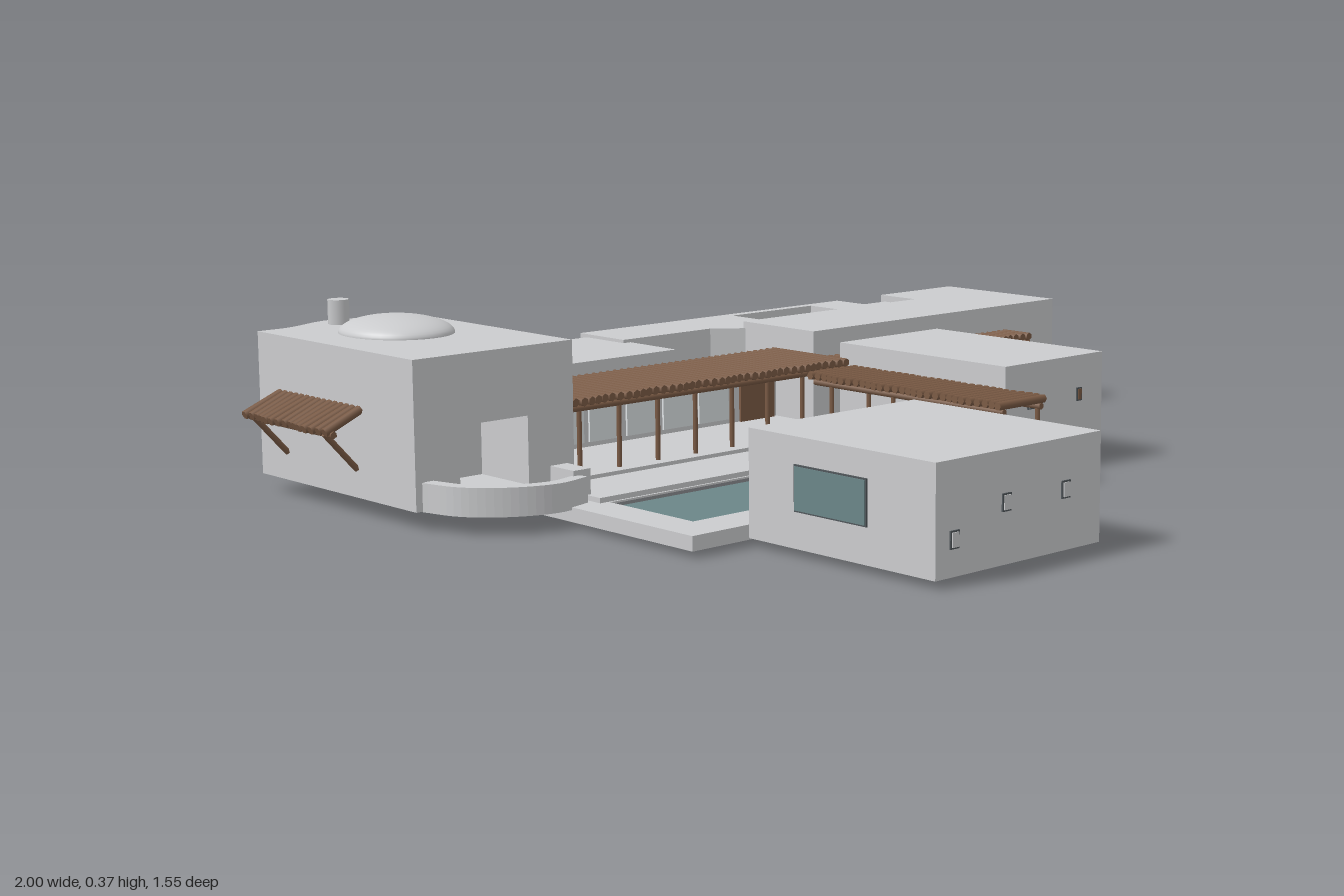
import * as THREE from 'three';

const mat = (name, color) => {
  const m = new THREE.MeshStandardMaterial({ color });
  m.name = name;
  return m;
};

export function createModel() {
  const root = new THREE.Group();
  root.name = 'courtyardHouse';
  const plaster = mat('plaster', 0xcbccce);
  const wood = mat('timber', 0x7b5b45);
  const water = mat('water', 0x6b8688);
  const pale = mat('paleGlass', 0xdde2e4);
  const dark = mat('darkGlass', 0x50565a);

  const add = (name, geo, m = plaster) => {
    const mesh = new THREE.Mesh(geo, m);
    mesh.name = name;
    root.add(mesh);
    return mesh;
  };
  const box = (name, x0, x1, y0, y1, z0, z1, m) => {
    const mesh = add(name, new THREE.BoxGeometry(x1 - x0, y1 - y0, z1 - z0), m);
    mesh.position.set((x0 + x1) / 2, (y0 + y1) / 2, (z0 + z1) / 2);
    return mesh;
  };
  // Upright prism over a plan outline given as [x, z] pairs
  const prism = (name, pts, y0, y1, m, hole) => {
    const plan = (list) => list.map(([x, z]) => new THREE.Vector2(x, -z));
    const s = new THREE.Shape(plan(pts));
    if (hole) s.holes.push(new THREE.Path(plan(hole)));
    const g = new THREE.ExtrudeGeometry(s, { depth: y1 - y0, bevelEnabled: false });
    g.rotateX(-Math.PI / 2).translate(0, y0, 0);
    return add(name, g, m);
  };
  const rect = (x0, x1, z0, z1) => [[x0, z0], [x1, z0], [x1, z1], [x0, z1]];
  // Wall of even thickness along a curved plan line
  const curvedWall = (name, pts, t, y0, y1) => {
    const c = new THREE.CatmullRomCurve3(pts.map(([x, z]) => new THREE.Vector3(x, 0, z)));
    const a = [], b = [];
    for (let i = 0; i <= 24; i++) {
      const p = c.getPoint(i / 24), d = c.getTangent(i / 24);
      a.push([p.x - d.z * t / 2, p.z + d.x * t / 2]);
      b.unshift([p.x + d.z * t / 2, p.z - d.x * t / 2]);
    }
    return prism(name, a.concat(b), y0, y1);
  };
  // Round timber between two points
  const pole = (name, a, b, r, sides = 6) => {
    const p = new THREE.Vector3(...a), q = new THREE.Vector3(...b);
    const d = q.clone().sub(p);
    const mesh = add(name, new THREE.CylinderGeometry(r, r, d.length(), sides), wood);
    mesh.position.copy(p).add(q).multiplyScalar(0.5);
    mesh.quaternion.setFromUnitVectors(new THREE.Vector3(0, 1, 0), d.normalize());
    return mesh;
  };
  // Small framed window on a wall; axis is the facing axis, sign its direction
  const windowAt = (axis, sign, plane, u, y, w, h, m = plaster) => {
    const plate = (name, pw, ph, t, pm) => {
      const c = plane + sign * t / 2;
      if (axis === 'z') box(name, u - pw / 2, u + pw / 2, y - ph / 2, y + ph / 2, c - t / 2, c + t / 2, pm);
      else box(name, c - t / 2, c + t / 2, y - ph / 2, y + ph / 2, u - pw / 2, u + pw / 2, pm);
    };
    plate('windowFrame', w, h, 0.003, dark);
    plate('windowPane', w - 0.006, h - 0.006, 0.005, m);
  };

  // Tower with a swelling back wall and a niche in the front
  const outline = [[-0.54, -0.36], [-0.54, -0.735]];
  for (let i = 0; i <= 16; i++) {
    const t = i / 16;
    outline.push([-0.58 - 0.28 * t, -0.735 - 0.02 * (1 - Math.cos(2 * Math.PI * t))]);
  }
  outline.push([-0.91, -0.735], [-0.91, -0.36]);
  prism('towerBody', outline, 0.035, 0.32);
  box('towerNicheLeft', -0.65, -0.54, 0.035, 0.32, -0.36, -0.21);
  box('towerNicheRight', -0.91, -0.81, 0.035, 0.32, -0.36, -0.21);
  box('towerNicheLintel', -0.81, -0.65, 0.185, 0.32, -0.36, -0.21);
  box('towerNicheFloor', -0.81, -0.65, 0.035, 0.05, -0.36, -0.21);
  const dome = add('dome', new THREE.SphereGeometry(1, 40, 12, 0, Math.PI * 2, 0, Math.PI / 2));
  dome.scale.set(0.108, 0.035, 0.125);
  dome.position.set(-0.72, 0.32, -0.535);
  const chimney = add('chimney', new THREE.CylinderGeometry(0.022, 0.022, 0.05, 8));
  chimney.position.set(-0.735, 0.345, -0.715);
  windowAt('z', -1, -0.774, -0.72, 0.17, 0.025, 0.03);

  // Rounded terrace below the tower
  const bay = [[-0.885, -0.21], [-0.86, -0.13], [-0.8, -0.07], [-0.72, -0.04], [-0.645, -0.055]];
  prism('terraceFloor', [...bay, [-0.62, -0.21]], 0.035, 0.05);
  curvedWall('terraceParapet', bay, 0.028, 0.035, 0.09);
  box('terracePier', -0.66, -0.62, 0.035, 0.1, -0.13, -0.06);

  // Rear wing and the mass around the open patio
  box('rearWing', -0.54, -0.1, 0.035, 0.228, -0.715, -0.44);
  prism('patioRearWing', [[-0.1, -0.738], [0.33, -0.738], [0.33, -0.54], [0.21, -0.54], [0.15, -0.59], [-0.1, -0.59]], 0.035, 0.235);
  box('patioSideWall', -0.1, -0.08, 0.035, 0.228, -0.59, -0.44);
  box('patioFrontWall', -0.08, 0.21, 0.035, 0.19, -0.46, -0.44);
  [-0.15, -0.26, -0.4].forEach((x) => windowAt('z', -1, -0.715, x, 0.15, 0.025, 0.035));
  windowAt('z', -1, -0.738, 0.03, 0.15, 0.025, 0.035);

  // Sunken roof terrace
  box('roofTerraceFloor', 0.33, 0.58, 0.035, 0.16, -0.715, -0.61);
  box('roofTerraceBackWall', 0.33, 0.58, 0.035, 0.235, -0.738, -0.715);
  box('stairHead', 0.58, 0.69, 0.035, 0.235, -0.738, -0.645);
  prism('eastWingRear', [[0.33, -0.61], [0.58, -0.625], [0.58, -0.645], [0.76, -0.645], [0.76, -0.54], [0.33, -0.54]], 0.035, 0.235);
  windowAt('x', 1, 0.69, -0.69, 0.135, 0.03, 0.1);

  // East wing
  box('eastWing', 0.21, 1, 0.035, 0.25, -0.545, -0.32);
  box('eastWingEnd', 0.76, 1, 0.035, 0.25, -0.658, -0.545);
  windowAt('x', 1, 0.995, -0.41, 0.14, 0.022, 0.03);
  windowAt('x', 1, 0.995, -0.595, 0.15, 0.022, 0.03);
  // Deep framed window with a timber head
  const bx = [0.82, 0.96];
  box('bayWindowGlass', bx[0], bx[1], 0.09, 0.19, -0.663, -0.658, dark);
  box('bayWindowSill', bx[0], bx[1], 0.08, 0.095, -0.685, -0.658);
  box('bayWindowHead', bx[0], bx[1], 0.19, 0.2, -0.688, -0.658, wood);
  bx.forEach((x) => box('bayWindowJamb', x - 0.006, x + 0.006, 0.08, 0.195, -0.685, -0.658));
  box('bayWindowPane', 0.845, 0.935, 0.11, 0.17, -0.667, -0.66, plaster);

  // Floors
  box('galleryFloor', -0.54, 0.22, 0.035, 0.05, -0.44, -0.2);
  box('porchFloor', 0.22, 0.865, 0.035, 0.05, -0.32, -0.235);
  const pool = rect(-0.61, -0.11, -0.015, 0.22);
  prism('courtFloor', rect(-0.69, 0.22, -0.21, 0.31), 0.012, 0.04, plaster, pool);
  box('poolDeck', -0.63, -0.06, 0.035, 0.05, -0.17, -0.02);
  box('poolEdge', -0.105, -0.06, 0.035, 0.05, -0.02, 0.22);
  box('poolBasin', -0.61, -0.11, 0, 0.014, -0.015, 0.22);
  box('poolWater', -0.61, -0.11, 0.014, 0.03, -0.015, 0.22, water);
  box('courtBench', -0.04, 0.08, 0.04, 0.065, 0.225, 0.245);
  box('courtBenchEnd', -0.015, 0.005, 0.04, 0.08, 0.2, 0.235);

  // South west pavilion
  box('southPavilion', -0.555, -0.13, 0.015, 0.217, 0.31, 0.77);
  [[-0.51, 0.08], [-0.38, 0.125], [-0.225, 0.125]].forEach(([x, y]) => windowAt('z', 1, 0.77, x, y, 0.022, 0.032));
  windowAt('x', 1, -0.13, 0.53, 0.14, 0.025, 0.032, pale);
  windowAt('x', 1, -0.13, 0.38, 0.13, 0.06, 0.05);
  windowAt('x', -1, -0.555, 0.52, 0.125, 0.18, 0.085, water);

  // South east pavilion
  box('eastPavilion', 0.222, 0.525, 0.015, 0.232, -0.25, 0.228);
  windowAt('z', 1, 0.228, 0.3, 0.15, 0.022, 0.028);
  windowAt('z', 1, 0.228, 0.45, 0.15, 0.016, 0.028, wood);
  [[0.055, 0.13], [-0.065, 0.13], [-0.19, 0.15]].forEach(([z, y]) => windowAt('x', 1, 0.525, z, y, 0.025, 0.03));

  // Curved garden walls
  curvedWall('entryWall', [[-0.13, 0.445], [-0.07, 0.445], [-0.025, 0.415], [-0.012, 0.37], [-0.012, 0.325]], 0.022, 0.015, 0.115);
  curvedWall('gardenWall', [[-0.02, 0.325], [0.08, 0.33], [0.19, 0.333], [0.235, 0.315], [0.245, 0.275], [0.232, 0.225]], 0.022, 0.015, 0.088);

  // Glazing and doors beneath the pergolas
  for (let i = 0; i < 6; i++) {
    const x = -0.52 + i * 0.1;
    box('galleryGlass', x, x + 0.085, 0.06, 0.17, -0.44, -0.435, pale);
  }
  box('galleryDoor', 0.1, 0.2, 0.05, 0.165, -0.44, -0.434, wood);
  box('porchGlass', 0.54, 0.72, 0.06, 0.165, -0.32, -0.315, pale);
  box('porchDoor', 0.735, 0.82, 0.05, 0.155, -0.32, -0.312, wood);

  // Pergolas: rows of round timbers with slightly uneven ends
  const row = (name, from, to, place) => {
    const n = Math.round((to - from) / 0.0188);
    for (let i = 0; i < n; i++) {
      const jitter = 0.004 * Math.sin(i * 7.3);
      pole(name, ...place(from + (i + 0.5) * (to - from) / n, jitter), 0.0089);
    }
  };
  row('galleryTimber', -0.54, 0.21, (x, j) => [[x, 0.195, -0.44], [x, 0.195, -0.212 + j]]);
  row('walkwayTimber', -0.21, 0.34, (z, j) => [[0.085 + j, 0.18, z], [0.222 + j, 0.18, z]]);
  row('porchTimber', 0.21, 0.835, (x, j) => [[x, 0.185, -0.32], [x, 0.185, -0.243 + j]]);
  row('awningTimber', -0.665, -0.375, (z, j) => [[-0.994 + j, 0.172, z], [-0.91, 0.207, z]]);

  // Beams, posts and braces
  pole('galleryBeam', [-0.54, 0.18, -0.23], [0.21, 0.18, -0.23], 0.007);
  for (let i = 0; i < 7; i++) pole('galleryPost', [-0.51 + i * 0.1, 0.045, -0.23], [-0.51 + i * 0.1, 0.18, -0.23], 0.005);
  [0.1, 0.21].forEach((x) => {
    pole('walkwayBeam', [x, 0.166, -0.2], [x, 0.166, 0.335], 0.007);
    [-0.15, 0.03, 0.2, 0.325].forEach((z) => pole('walkwayPost', [x, 0.035, z], [x, 0.166, z], 0.005));
  });
  pole('porchBeam', [0.21, 0.17, -0.255], [0.84, 0.17, -0.255], 0.007);
  [0.56, 0.7, 0.83].forEach((x) => pole('porchPost', [x, 0.045, -0.255], [x, 0.17, -0.255], 0.005));
  pole('awningBeam', [-0.975, 0.167, -0.665], [-0.975, 0.167, -0.375], 0.007);
  [-0.64, -0.4].forEach((z) => pole('awningBrace', [-0.91, 0.09, z], [-0.98, 0.167, z], 0.006));
  return root;
}
